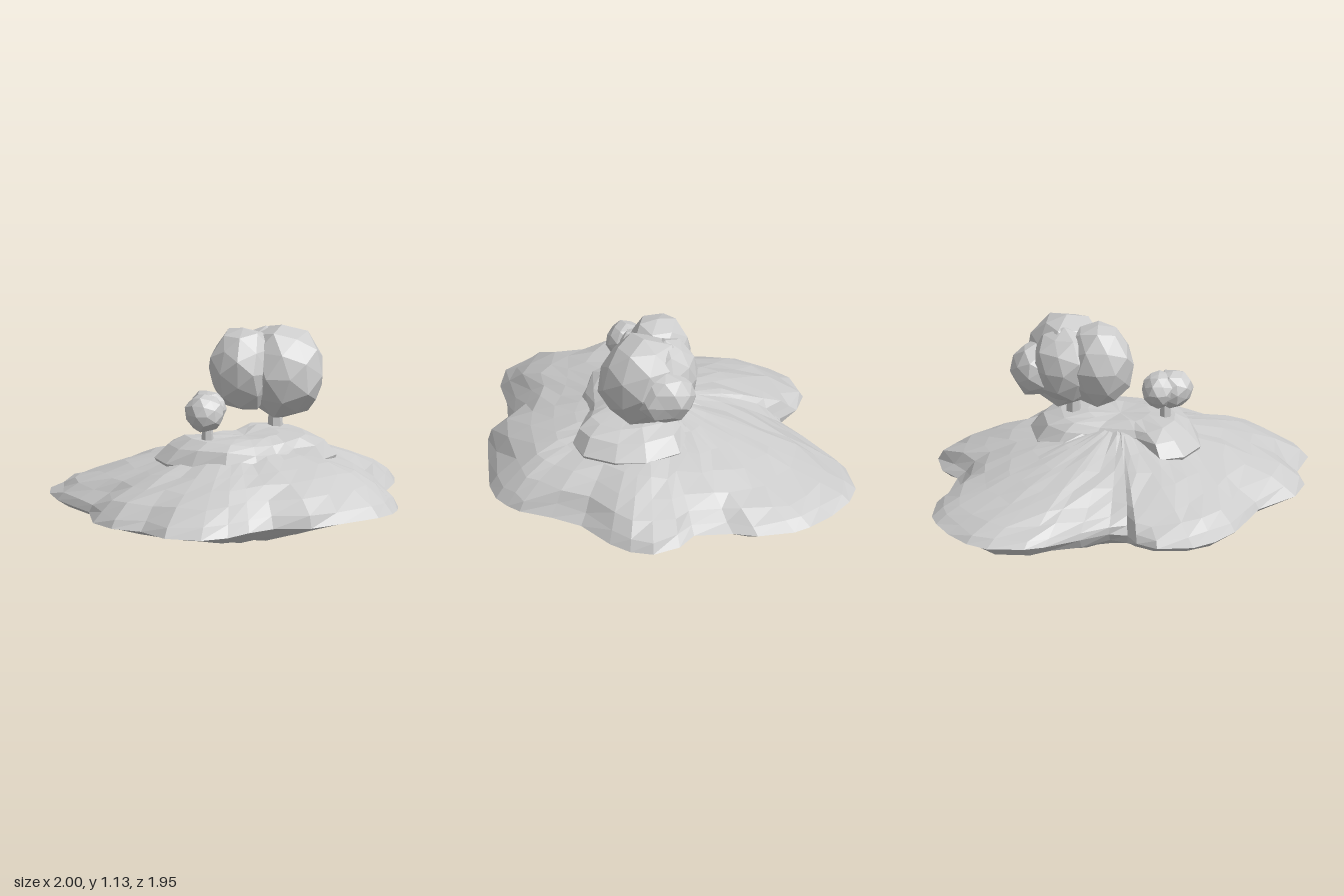
import * as THREE from 'three';

const material = new THREE.MeshStandardMaterial({ color: 0xcccccc, flatShading: true });

// Repeatable value in -1..1
const noise = (a, b) => {
  const v = Math.sin(a * 12.99 + b * 78.23) * 43758.55;
  return (v - Math.floor(v)) * 2 - 1;
};

// Closed shell: one ring per [scale, height], growing rounder towards the centre.
function shell(outline, [cx, cz], profile, heightRule, rough) {
  const n = outline.length, pos = [], index = [];
  const mean = (f) => outline.reduce((sum, p) => sum + f(p), 0) / n;
  const mx = mean((p) => p[0]), mz = mean((p) => p[1]);
  const radius = mean((p) => Math.hypot(p[0] - mx, p[1] - mz));
  profile.forEach(([s, y], r) => outline.forEach(([ox, oz], i) => {
    const loose = s > 0 && s < 0.99 ? rough : 0;
    const k = s * (1 + loose * 2 * noise(i, r));
    const round = s + (1 - s) * radius / Math.hypot(ox - mx, oz - mz);
    const x = cx + (mx + (ox - mx) * round - cx) * k;
    const z = cz + (mz + (oz - mz) * round - cz) * k;
    pos.push(x, y + heightRule(x, z, s, y) + loose * 0.5 * noise(r + 7, i), z);
  }));
  for (let r = 0; r < profile.length - 1; r++) {
    for (let i = 0; i < n; i++) {
      const a = r * n + i, b = r * n + (i + 1) % n;
      if (profile[r][0] > 0) index.push(a, a + n, b);
      if (profile[r + 1][0] > 0) index.push(b, a + n, b + n);
    }
  }
  const g = new THREE.BufferGeometry();
  g.setAttribute('position', new THREE.Float32BufferAttribute(pos, 3));
  g.setIndex(index);
  const flat = g.toNonIndexed();
  flat.computeVertexNormals();
  return flat;
}

function add(parent, name, geometry) {
  const mesh = new THREE.Mesh(geometry, material);
  mesh.name = name;
  parent.add(mesh);
  return mesh;
}

// Faceted clump of leaves, slightly lumpy
function clump(parent, [x, y, z], [rx, ry, rz], turn) {
  const g = new THREE.IcosahedronGeometry(1, 1), p = g.attributes.position;
  for (let i = 0; i < p.count; i++) {
    const a = p.getX(i), b = p.getY(i), c = p.getZ(i);
    const k = 1 + 0.06 * Math.sin(a * 5 + turn) * Math.cos(b * 4 + c * 5);
    p.setXYZ(i, a * k, b * k, c * k);
  }
  g.rotateY(turn).scale(rx, ry, rz).translate(x, y, z);
  g.computeVertexNormals();
  add(parent, 'foliage', g);
}

function tree(name, trunk, clumps) {
  const group = new THREE.Group();
  group.name = name;
  const [x, y, z, radius, height] = trunk;
  add(group, 'trunk', new THREE.CylinderGeometry(radius * 0.75, radius, height, 6))
    .position.set(x, y + height / 2, z);
  clumps.forEach(([c, r], i) => clump(group, c, r, i * 1.3 + 0.4));
  return group;
}

export function createModel() {
  const model = new THREE.Group();
  model.name = 'floatingIsland';

  // Island body: irregular shoreline, shallow keel below, hill above
  const shore = [
    [1, 0.18], [0.96, 0.3], [0.87, 0.4], [0.68, 0.53], [0.58, 0.68], [0.5, 0.84], [0.44, 0.9],
    [0.36, 0.95], [0.24, 0.97], [0, 0.945], [-0.2, 0.92], [-0.36, 0.79], [-0.52, 0.775],
    [-0.69, 0.79], [-0.84, 0.74], [-0.95, 0.57], [-0.93, 0.36], [-1, 0.2], [-0.98, 0.03],
    [-0.82, -0.18], [-0.79, -0.33], [-0.75, -0.51], [-0.67, -0.66], [-0.57, -0.76],
    [-0.38, -0.81], [-0.26, -0.76], [-0.19, -0.66], [-0.09, -0.66], [0.05, -0.77],
    [0.22, -0.9], [0.32, -0.95], [0.52, -0.98], [0.64, -0.93], [0.76, -0.82], [0.85, -0.69],
    [0.89, -0.6], [0.9, -0.4], [0.86, -0.27], [0.85, -0.06], [0.95, 0.03],
  ];
  const keel = [[0, 0.003], [0.2, 0.01], [0.4, 0.035], [0.6, 0.085], [0.78, 0.14], [0.92, 0.185]];
  const hill = [[1, 0.213], [0.95, 0.26], [0.86, 0.32], [0.74, 0.372], [0.6, 0.42],
    [0.45, 0.46], [0.3, 0.495], [0.15, 0.535], [0, 0.56]];
  const tilt = (x, z, s, y) => s === 1 || s === 0 ? 0
    : y > 0.213 ? 0.06 * z * Math.min(1, (1 - s) * 5) : 0.03 * z * Math.min(1, s * 2);
  add(model, 'island', shell(shore, [0, 0.08], [...keel, ...hill], tilt, 0.016));

  // Raised knoll under the trees, with two low crests
  const knoll = [
    [0.49, 0.15], [0.47, 0.32], [0.38, 0.48], [0.25, 0.52], [0.12, 0.46], [0.02, 0.42],
    [-0.15, 0.43], [-0.32, 0.36], [-0.42, 0.2], [-0.46, 0.04], [-0.4, -0.12], [-0.28, -0.18],
    [-0.14, -0.08], [0.1, -0.05], [0.3, -0.1], [0.42, -0.04],
  ];
  const crests = (x, z, s) => s > 0.95 ? 0 : 0.035 * Math.min(1, Math.abs(x) * 4) - 0.005;
  add(model, 'knoll', shell(knoll, [0, 0.16],
    [[0, 0.38], [0.97, 0.41], [1, 0.46], [0.88, 0.508], [0.7, 0.547], [0.4, 0.572], [0, 0.575]],
    crests, 0.016));

  model.add(tree('largeTree', [0.25, 0.54, 0.13, 0.045, 0.16], [
    [[0.29, 0.875, 0.14], [0.215, 0.26, 0.25]],
    [[0.1, 0.9, 0.04], [0.19, 0.235, 0.18]],
    [[0.43, 0.85, 0.04], [0.145, 0.15, 0.165]],
    [[0.28, 0.89, 0.02], [0.19, 0.21, 0.18]],
  ]));
  model.add(tree('smallTree', [-0.25, 0.55, 0.14, 0.035, 0.13], [
    [[-0.29, 0.735, 0.16], [0.105, 0.105, 0.11]],
    [[-0.22, 0.745, 0.11], [0.09, 0.098, 0.11]],
  ]));
  return model;
}
